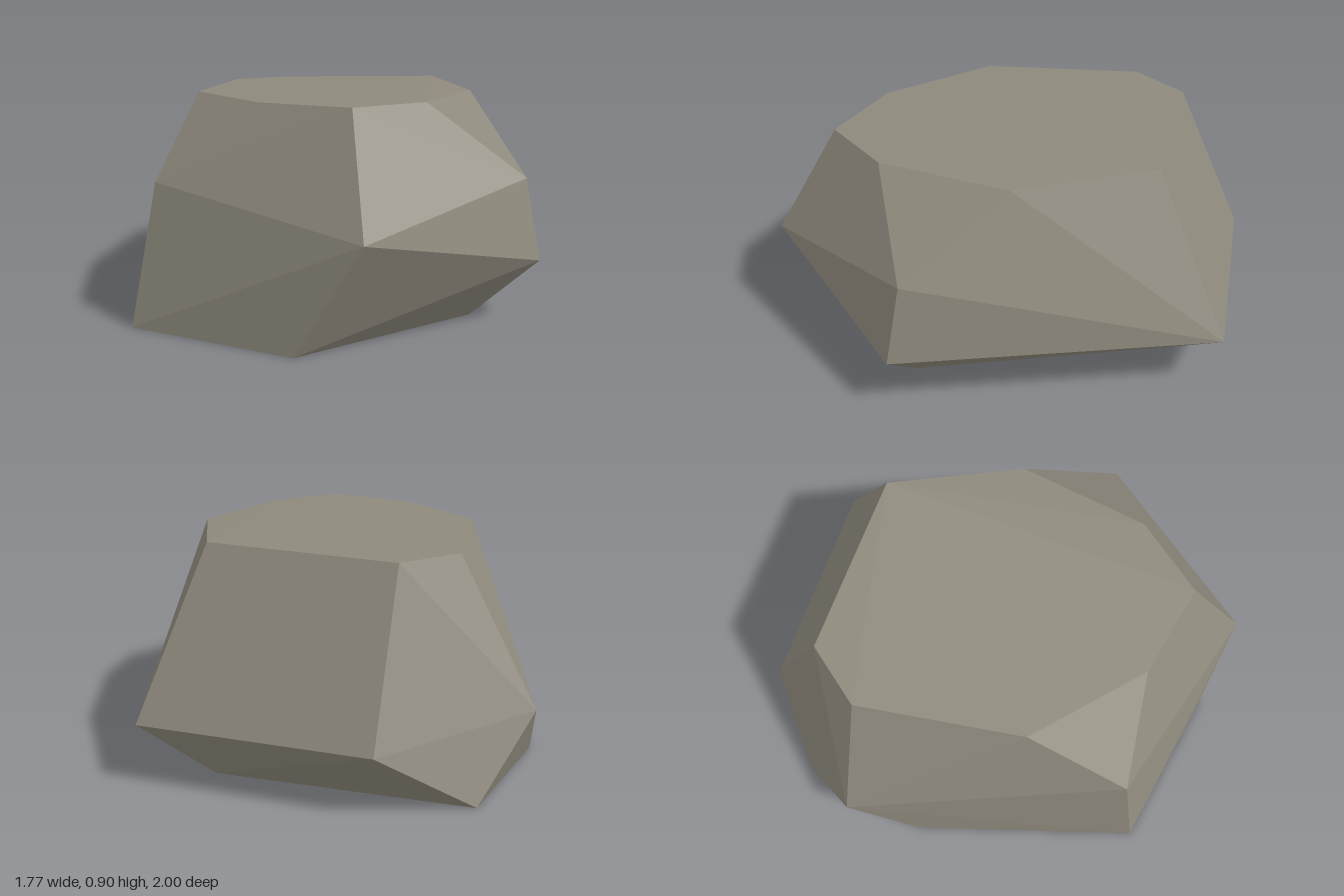
import * as THREE from 'three';
import { ConvexGeometry } from 'three/addons/geometries/ConvexGeometry.js';

export function createModel() {
  const group = new THREE.Group();
  group.name = 'rock';
  const stone = new THREE.MeshStandardMaterial({ color: 0x8e897c });
  stone.name = 'warm grey stone';

  // Flat top rim, slightly raised at one back corner
  const top = [
    [-0.38, 0.88, -0.70], [0.38, 0.90, -0.60], [0.58, 0.88, -0.05], [0.43, 0.88, 0.49],
    [0.18, 0.88, 0.74], [-0.20, 0.88, 0.61], [-0.56, 0.88, 0.20], [-0.58, 0.88, -0.49],
  ];
  // Widest corners around the sides
  const middle = [
    [-0.35, 0.25, -1.0], [0.58, 0.25, -0.90], [0.88, 0.25, 0.39], [0.82, 0.57, 0.34],
    [0.26, 0.435, 1.0], [-0.61, 0.565, 0.635], [-0.89, 0.29, -0.52],
  ];
  // Footprint on the ground
  const base = [
    [0.30, 0.04, -0.81], [0.61, 0, 0.35], [0, 0, 0.95],
    [-0.69, 0, 0.73], [-0.87, 0, -0.22], [-0.70, 0, -0.80],
  ];

  // Faceted boulder, a convex hull over the three rings
  const corners = [...top, ...middle, ...base].map((p) => new THREE.Vector3(...p));
  const boulder = new THREE.Mesh(new ConvexGeometry(corners), stone);
  boulder.name = 'boulder';
  group.add(boulder);
  return group;
}
